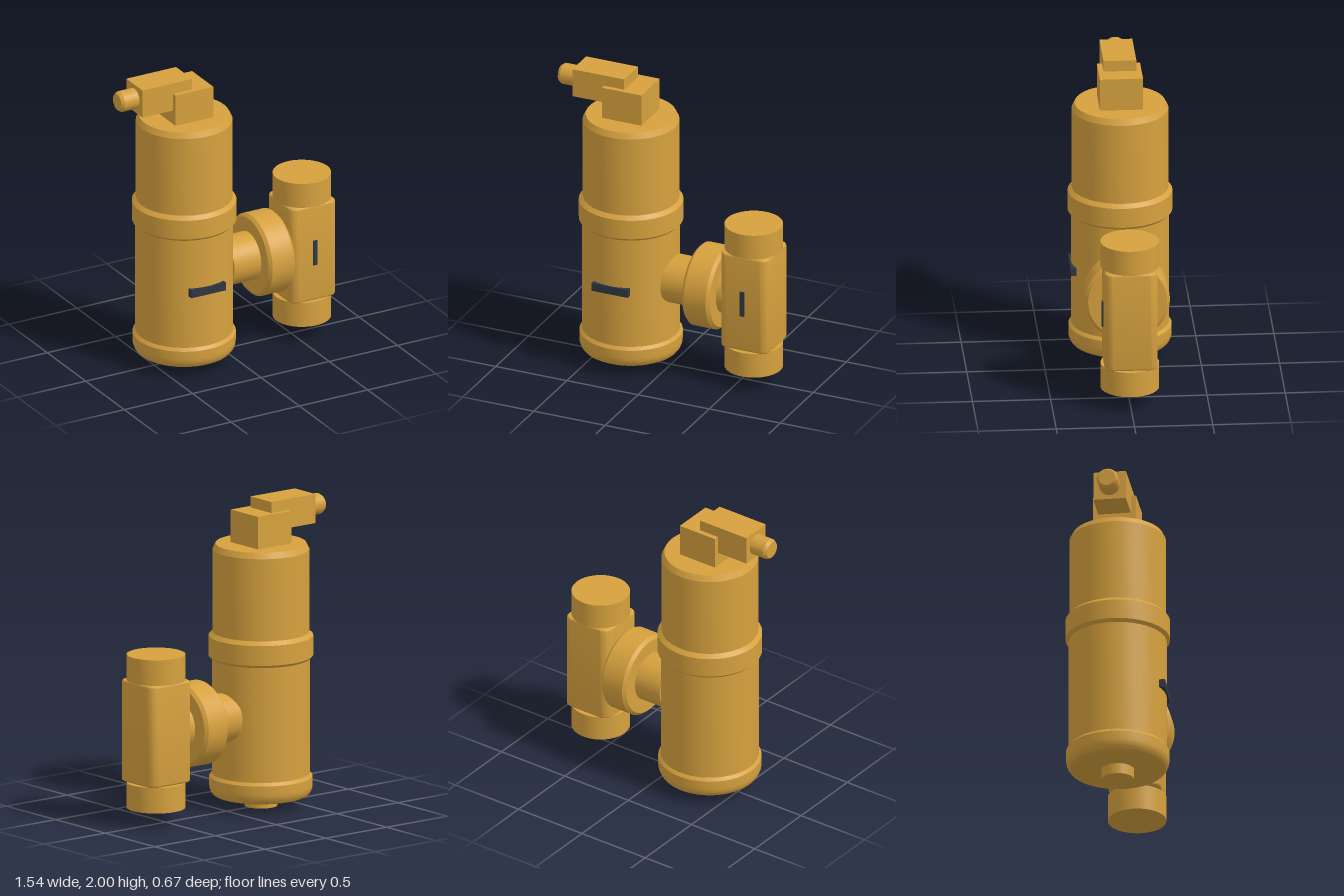
import * as THREE from 'three';
import { toCreasedNormals } from 'three/addons/utils/BufferGeometryUtils.js';

export function createModel() {
  const model = new THREE.Group();
  const brass = new THREE.MeshStandardMaterial({ color: 0xd6a13e });
  brass.name = 'brass';
  const slate = new THREE.MeshStandardMaterial({ color: 0x2f3742 });
  slate.name = 'slate';

  const BODY_X = -0.28, VALVE_X = 0.582, PIPE_Y = 0.615;

  function add(name, geometry, material, x, y, z) {
    const mesh = new THREE.Mesh(geometry, material);
    mesh.name = name;
    mesh.position.set(x, y, z);
    model.add(mesh);
    return mesh;
  }
  // Turned part: [radius, height] pairs from bottom to top
  function turned(name, profile, x, y) {
    const points = profile.map(([r, h]) => new THREE.Vector2(r, h));
    return add(name, toCreasedNormals(new THREE.LatheGeometry(points, 64), 0.35), brass, x, y, 0);
  }
  // Box given by its lower and upper corners
  function block(name, material, [x0, y0, z0], [x1, y1, z1]) {
    add(name, new THREE.BoxGeometry(x1 - x0, y1 - y0, z1 - z0), material,
      (x0 + x1) / 2, (y0 + y1) / 2, (z0 + z1) / 2);
  }

  // Vertical housing
  turned('drainPlug', [[0, 0], [0.105, 0], [0.105, 0.08], [0, 0.08]], BODY_X, 0);
  turned('baseCap', [[0, 0.07], [0.29, 0.07], [0.307, 0.079], [0.32, 0.096], [0.328, 0.118],
    [0.33, 0.14], [0.33, 0.195], [0.313, 0.215], [0, 0.215]], BODY_X, 0);
  turned('lowerBody', [[0, 0.2], [0.313, 0.2], [0.313, 0.98], [0, 0.98]], BODY_X, 0);
  turned('collar', [[0, 0.967], [0.316, 0.967], [0.334, 0.985], [0.334, 1.115],
    [0.31, 1.14], [0, 1.14]], BODY_X, 0);
  turned('upperBody', [[0, 1.12], [0.309, 1.12], [0.309, 1.677], [0.29, 1.715], [0, 1.715]], BODY_X, 0);

  // Vent head with its side connector
  block('ventBase', brass, [-0.42, 1.71, -0.138], [-0.144, 1.928, 0.138]);
  block('ventArm', brass, [-0.644, 1.81, -0.105], [-0.28, 2, 0.105]);
  turned('ventOutlet', [[0, 0], [0.068, 0], [0.068, 0.111], [0.055, 0.131], [0, 0.131]], -0.639, 1.905)
    .rotation.z = Math.PI / 2;

  // Horizontal branch and union nut, both lying along x
  turned('branchPipe', [[0, 0], [0.159, 0], [0.159, 0.5], [0, 0.5]], 0, PIPE_Y)
    .rotation.z = -Math.PI / 2;
  turned('unionNut', [[0, 0], [0.252, 0], [0.272, 0.02], [0.272, 0.174], [0.252, 0.194], [0, 0.194]], 0.195, PIPE_Y)
    .rotation.z = -Math.PI / 2;

  // Valve body: rounded square extruded upwards with softened ends
  const bevel = 0.016, half = 0.17 - bevel, r = 0.04;
  const square = new THREE.Shape();
  [[1, 1, 0], [-1, 1, 1], [-1, -1, 2], [1, -1, 3]].forEach(([sx, sy, q]) => {
    square.absarc(sx * (half - r), sy * (half - r), r, q * Math.PI / 2, (q + 1) * Math.PI / 2, false);
  });
  const valve = new THREE.ExtrudeGeometry(square, {
    depth: 0.665 - 2 * bevel, bevelEnabled: true, bevelSize: bevel,
    bevelThickness: bevel, bevelSegments: 4, curveSegments: 8
  });
  valve.rotateX(-Math.PI / 2);
  add('valveBody', toCreasedNormals(valve, 0.5), brass, VALVE_X, 0.28 + bevel, 0);

  // Pipe sockets at both ends of the valve
  for (const [name, y] of [['lowerSocket', 0.11], ['upperSocket', 0.945]]) {
    turned(name, [[0, 0], [0.187, 0], [0.187, 0.167], [0, 0.167]], VALVE_X, y);
  }

  // Dark marker plates on the front
  block('bodyMarker', slate, [-0.408, 0.576, 0.28], [-0.154, 0.63, 0.322]);
  block('valveMarker', slate, [0.566, 0.53, 0.168], [0.596, 0.7, 0.18]);

  return model;
}
